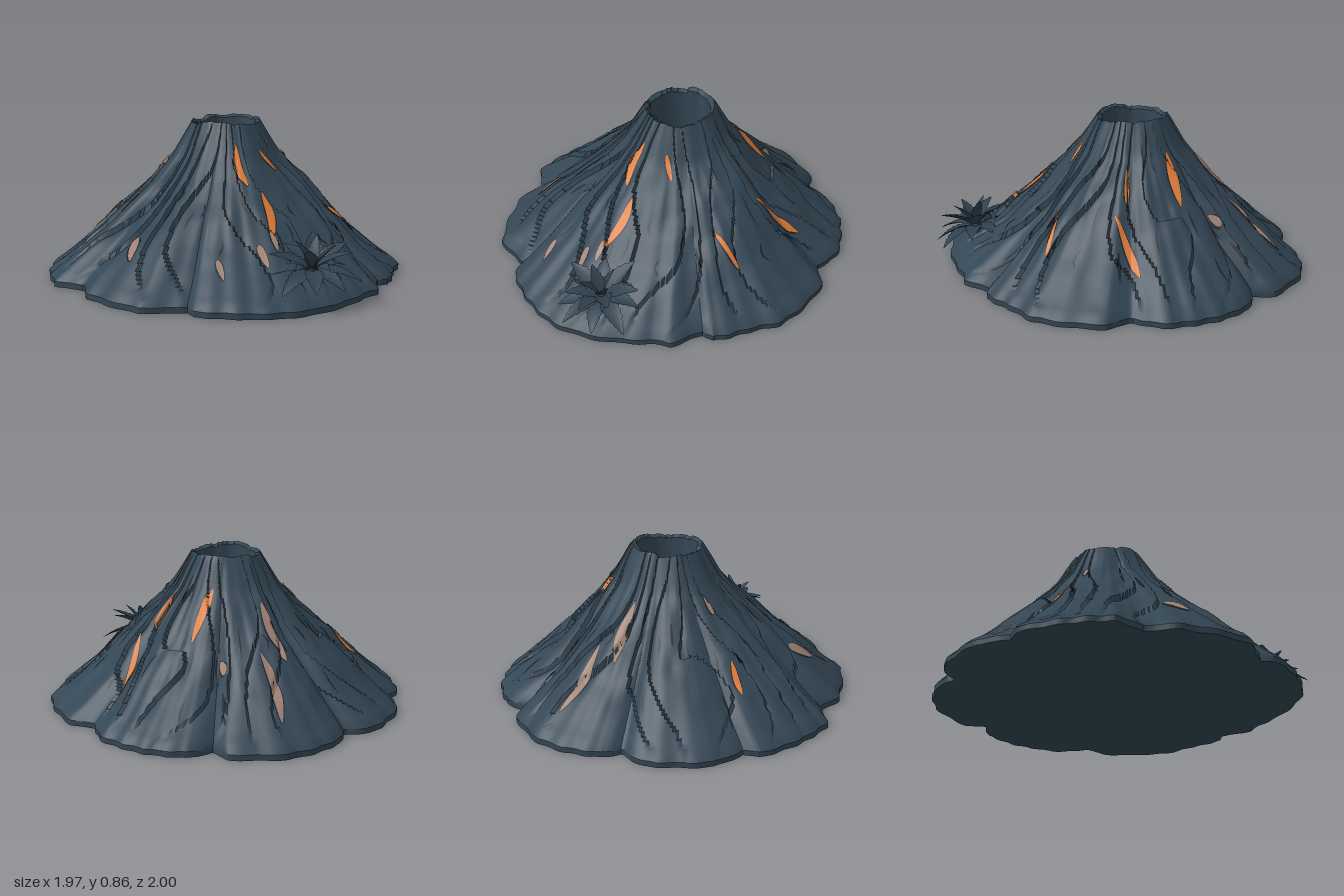
import * as THREE from 'three';
import { toCreasedNormals } from 'three/addons/utils/BufferGeometryUtils.js';

const TAU = Math.PI * 2;
const CZ = -0.05; // crater centre in z
const RIM = 0.19;

// Lobed foot outline as x, z pairs
const OUTLINE = [
  0.08, 0.99, 0.3, 0.97, 0.42, 0.91, 0.58, 0.78, 0.7, 0.62, 0.78, 0.55, 0.8, 0.36, 0.87, 0.34,
  0.93, 0.12, 0.98, -0.02, 0.95, -0.2, 0.87, -0.4, 0.74, -0.47, 0.72, -0.64, 0.5, -0.85, 0.3, -0.92,
  0.16, -0.87, 0.1, -0.97, -0.2, -1, -0.35, -0.94, -0.5, -0.82, -0.54, -0.71, -0.7, -0.69, -0.91, -0.4,
  -0.9, -0.21, -0.97, -0.15, -0.98, 0.1, -0.92, 0.35, -0.76, 0.43, -0.73, 0.6, -0.66, 0.68, -0.45, 0.87,
  -0.21, 0.86, -0.18, 0.94,
];
const foot = [];
for (let i = 0; i < OUTLINE.length; i += 2) {
  const x = OUTLINE[i], z = OUTLINE[i + 1] - CZ;
  foot.push([(Math.atan2(x, z) + TAU) % TAU, Math.hypot(x, z)]);
}
foot.sort((p, q) => p[0] - q[0]);

// Slope profile: share of the way from rim to foot, height
const SLOPE = [[0, 0.855], [0.13, 0.68], [0.26, 0.56], [0.38, 0.46], [0.51, 0.36], [0.64, 0.26], [0.77, 0.175], [0.9, 0.095], [0.96, 0.062], [1, 0.03]];

function lookup(table, v) {
  let i = 1;
  while (i < table.length - 1 && table[i][0] < v) i++;
  const [a, b] = [table[i - 1], table[i]];
  return a[1] + (b[1] - a[1]) * (v - a[0]) / (b[0] - a[0]);
}
const ring = [[foot.at(-1)[0] - TAU, foot.at(-1)[1]], ...foot, [foot[0][0] + TAU, foot[0][1]]];
const footRadius = (a) => lookup(ring, a) + 0.006 * Math.sin(a * 37 + 2 * Math.sin(a * 5));

const hash = (x, y) => {
  const s = Math.sin(x * 127.1 + y * 311.7) * 43758.5453;
  return s - Math.floor(s);
};
// Value noise that wraps round the mountain every n cells
function noise(a, n, v) {
  const u = (a / TAU) * n, i = Math.floor(u), j = Math.floor(v);
  const f = u - i, g = v - j;
  const h = (p, q) => hash(((p % n) + n) % n, q + n);
  return (h(i, j) * (1 - f) + h(i + 1, j) * f) * (1 - g) + (h(i, j + 1) * (1 - f) + h(i + 1, j + 1) * f) * g - 0.5;
}

// Rock height with broad ribs, sharp gullies and small chips
function rockHeight(a, t) {
  const env = Math.sin(Math.PI * Math.min(1, 0.08 + t * 0.9));
  const phase = (a / TAU) * 23 + 0.5 * Math.sin(3 * a + 5 * t) + 0.35 * Math.sin(7 * a - 4 * t);
  const gully = phase - Math.floor(phase);
  const y = lookup(SLOPE, t) + env * (0.038 * (Math.sqrt(gully) - 0.6) + 0.06 * noise(a, 13, t * 3) + 0.025 * noise(a, 50, t * 8))
    + 0.03 * noise(a, 26, 2) * (1 - t);
  return Math.min(0.862, Math.max(0.02, y));
}

// Height of the slope above any ground point
function heightAt(x, z) {
  const a = (Math.atan2(x, z - CZ) + TAU) % TAU;
  const t = (Math.hypot(x, z - CZ) - RIM) / (footRadius(a) - RIM);
  return rockHeight(a, Math.min(1, Math.max(0, t)));
}

function gridGeometry(rows, cols, point) {
  const pos = [], index = [];
  for (let i = 0; i <= rows; i++) for (let j = 0; j <= cols; j++) pos.push(...point(i, j));
  for (let i = 0; i < rows; i++) for (let j = 0; j < cols; j++) {
    const p = i * (cols + 1) + j, q = p + cols + 1;
    index.push(p, q, p + 1, p + 1, q, q + 1);
  }
  const g = new THREE.BufferGeometry();
  g.setAttribute('position', new THREE.Float32BufferAttribute(pos, 3));
  g.setIndex(index);
  return g;
}

// Crater wall, slope, foot edge and underside in one skin
function mountainGeometry() {
  const N = 360, SLOPES = 44;
  const point = (i, j) => {
    const a = (j % N) / N * TAU;
    const at = (r, y) => [Math.sin(a) * r, y, CZ + Math.cos(a) * r];
    const R = footRadius(a);
    if (i < 3) return at([0.155, 0.158, 0.167][i] + (i ? 0.015 * noise(a, 24, i) : 0), [0.5, 0.68, rockHeight(a, 0) - 0.012][i]);
    const k = i - 3;
    if (k <= SLOPES) return at(RIM + (R - RIM) * k / SLOPES, rockHeight(a, k / SLOPES));
    return k === SLOPES + 1 ? at(R, 0) : at(0.0001, 0);
  };
  return toCreasedNormals(gridGeometry(SLOPES + 5, N, point), 0.55);
}

// Tapered strip laid on the slope along ground points
function strip(points, width, lift) {
  const curve = new THREE.CatmullRomCurve3(points.map(([x, z]) => new THREE.Vector3(x, 0, z)));
  const g = gridGeometry(16, 4, (i, j) => {
    const u = i / 16, p = curve.getPoint(u), d = curve.getTangent(u);
    const w = width * Math.pow(Math.sin(Math.PI * (0.02 + 0.96 * u)), 0.8) * (j / 4 - 0.5);
    const x = p.x + d.z * w, z = p.z - d.x * w;
    return [x, heightAt(x, z) + lift, z];
  });
  g.computeVertexNormals();
  return g;
}

// Arched, folded leaf with a toothed edge, pointing along +z
function leafGeometry(length, width, droop) {
  const n = 16;
  const g = gridGeometry(n, 2, (i, j) => {
    const u = i / n, side = j - 1;
    const w = width / 2 * (0.1 + Math.sin(Math.PI * Math.pow(u, 0.85))) * (1 - u * 0.1) * (i % 2 ? 1.06 : 0.86) * (i === n ? 0.1 : 1);
    return [side * w, length * (0.2 * u - droop * u * u) + Math.abs(side) * w * 0.35, length * u];
  });
  g.computeVertexNormals();
  return g;
}

export function createModel() {
  const rock = new THREE.MeshStandardMaterial({ color: 0x334654 });
  const fissure = new THREE.MeshStandardMaterial({ color: 0x1b262f, side: THREE.DoubleSide });
  const lava = new THREE.MeshStandardMaterial({ color: 0xe07c38, side: THREE.DoubleSide });
  const paleLava = new THREE.MeshStandardMaterial({ color: 0xa08274, side: THREE.DoubleSide });
  const foliage = new THREE.MeshStandardMaterial({ color: 0x2f414e, side: THREE.DoubleSide });

  const model = new THREE.Group();
  model.name = 'volcano';
  const add = (name, geometry, material, parent = model) => {
    const m = new THREE.Mesh(geometry, material);
    m.name = name;
    parent.add(m);
    return m;
  };

  add('mountain', mountainGeometry(), rock);
  const pool = add('craterPool', new THREE.CircleGeometry(0.165, 40), paleLava);
  pool.rotation.x = -Math.PI / 2;
  pool.position.set(0, 0.52, CZ);

  // Glowing vents: material, width, ground points
  const vents = [
    [paleLava, 0.05, [-0.19, -0.87], [-0.18, -0.72], [-0.12, -0.57]],
    [paleLava, 0.06, [-0.26, -0.57], [-0.2, -0.48], [-0.15, -0.36]],
    [lava, 0.05, [0.23, -0.48], [0.16, -0.39], [0.1, -0.32]],
    [paleLava, 0.025, [0.07, -0.64], [0.09, -0.57]],
    [lava, 0.035, [0.6, -0.44], [0.54, -0.34], [0.48, -0.22]],
    [lava, 0.022, [0.41, -0.25], [0.3, -0.19]],
    [lava, 0.03, [-0.74, -0.09], [-0.67, -0.08], [-0.6, -0.06]],
    [paleLava, 0.025, [-0.4, -0.03], [-0.32, -0.04]],
    [lava, 0.022, [0.71, 0.06], [0.53, 0.1]],
    [lava, 0.025, [0.18, 0.16], [0.27, 0.19]],
    [lava, 0.04, [0.05, 0.21], [0.06, 0.3], [0.11, 0.37]],
    [lava, 0.045, [0.18, 0.38], [0.22, 0.47], [0.23, 0.61]],
    [paleLava, 0.03, [0.22, 0.58], [0.25, 0.67]],
    [paleLava, 0.035, [0.15, 0.65], [0.2, 0.75]],
    [paleLava, 0.03, [-0.06, 0.73], [-0.03, 0.83]],
    [paleLava, 0.055, [-0.48, 0.44], [-0.51, 0.59]],
  ];
  for (const [material, width, ...points] of vents) {
    add('ventShadow', strip(points, width + 0.014, 0.006), fissure);
    add('lavaVent', strip(points, width, 0.012), material);
  }

  // Dark cracks running down the slope
  for (let i = 0; i < 44; i++) {
    const a = (i + hash(i, 1)) / 44 * TAU, r0 = 0.25 + 0.48 * hash(i, 2);
    const points = [0, 1, 2].map((k) => {
      const r = r0 + k * (0.03 + 0.04 * hash(i, 3)), b = a + 0.05 * (hash(i, k + 4) - 0.5);
      return [Math.sin(b) * r, CZ + Math.cos(b) * r];
    });
    add('crack', strip(points, 0.008 + 0.01 * hash(i, 9), 0.006), fissure);
  }

  // Leafy plant on the front slope, in three tiers
  const plant = new THREE.Group();
  plant.name = 'plant';
  plant.position.set(0.42, 0.18, 0.73);
  plant.rotation.x = 0.2;
  const tiers = [[9, 0.24, 0.09, 0.35, -0.02], [7, 0.23, 0.09, 0.25, -0.5], [4, 0.2, 0.07, 0.15, -0.95]];
  tiers.forEach(([count, length, width, droop, pitch], tier) => {
    for (let i = 0; i < count; i++) {
      const size = 0.85 + 0.25 * hash(i, tier + 20);
      const leaf = add('leaf', leafGeometry(length * size, width, droop), foliage, plant);
      leaf.rotation.order = 'YXZ';
      leaf.rotation.set(pitch + 0.2 * (hash(i, tier + 30) - 0.5), (i + tier * 0.4) / count * TAU, 0.3 * (hash(i, tier + 40) - 0.5));
    }
  });
  const crown = add('plantCrown', new THREE.SphereGeometry(0.035, 10, 8), fissure, plant);
  crown.position.y = -0.005;
  model.add(plant);
  return model;
}
